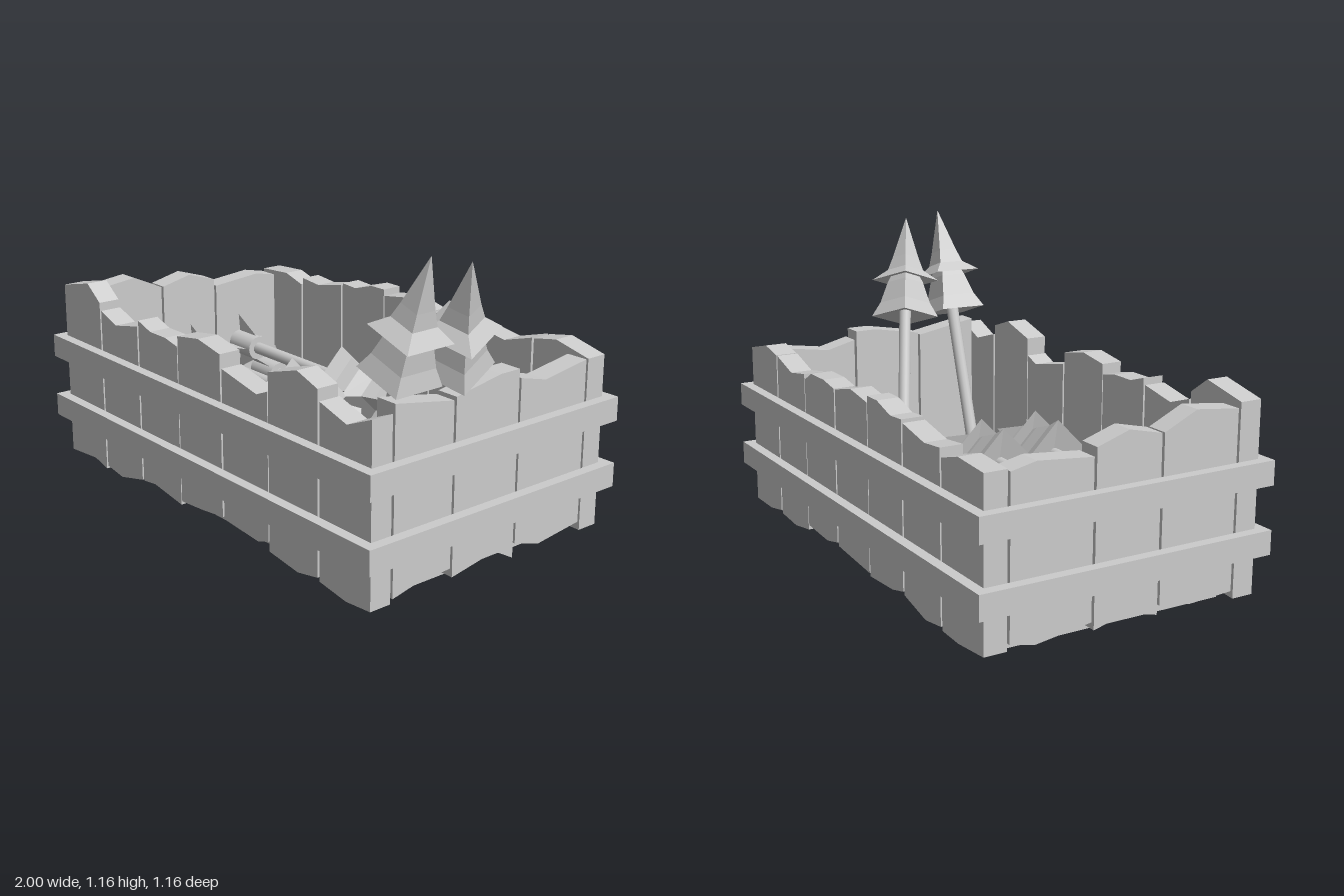
import * as THREE from 'three';

const mat = new THREE.MeshStandardMaterial({ color: 0xcccccc });
const flat = new THREE.MeshStandardMaterial({ color: 0xcccccc, flatShading: true });
const thin = new THREE.MeshStandardMaterial({ color: 0xcccccc, side: THREE.DoubleSide });
const T = 0.085; // plank thickness

function add(parent, name, geometry, material = mat) {
  const mesh = new THREE.Mesh(geometry, material);
  mesh.name = name;
  parent.add(mesh);
  return mesh;
}

function box(parent, name, x0, x1, y0, y1, z0, z1) {
  add(parent, name, new THREE.BoxGeometry(x1 - x0, y1 - y0, z1 - z0))
    .position.set((x0 + x1) / 2, (y0 + y1) / 2, (z0 + z1) / 2);
}

// Plank outline: jagged top and bottom given as [position along wall, height]
function plankGeometry(top, bottom) {
  const pts = [...bottom, ...top.slice().reverse()].map(p => new THREE.Vector2(...p));
  return new THREE.ExtrudeGeometry(new THREE.Shape(pts), { depth: T, bevelEnabled: false });
}

// Each plank: top points, then heights of the bottom edge at start, middle and end
function wall(name, planks) {
  const g = new THREE.Group();
  g.name = name;
  for (const [top, low] of planks) {
    const a = top[0][0], b = top[top.length - 1][0];
    const mid = top[1][0];
    add(g, 'plank', plankGeometry(top, [[a, low[0]], [mid, low[1]], [b, low[2]]]));
  }
  return g;
}

// Arrow along +y: nock cap, four fins, shaft and a two-tier barbed head
function arrow(name, base, dir, spin) {
  const g = new THREE.Group();
  g.name = name;
  add(g, 'nockCap', new THREE.CylinderGeometry(0.05, 0.05, 0.14, 16)).position.y = 0.07;
  add(g, 'shaft', new THREE.CylinderGeometry(0.025, 0.025, 0.66, 12)).position.y = 0.41;
  const finShape = new THREE.Shape([[0.04, 0.01], [0.12, 0], [0.04, 0.14]].map(p => new THREE.Vector2(...p)));
  for (let i = 0; i < 4; i++) {
    add(g, 'fin', new THREE.ShapeGeometry(finShape), thin).rotation.y = i * Math.PI / 2 + Math.PI / 4;
  }
  const tiers = [
    ['lowerBarbs', 0.69, [[0, 0.03], [0.14, 0], [0.105, 0.06], [0.075, 0.15], [0.03, 0.24]]],
    ['arrowTip', 0.85, [[0, 0.03], [0.14, 0], [0.075, 0.045], [0.055, 0.1], [0, 0.28]]],
  ];
  for (const [part, y, profile] of tiers) {
    const m = add(g, part, new THREE.LatheGeometry(profile.map(p => new THREE.Vector2(...p)), 4), flat);
    m.position.y = y;
    m.rotation.y = Math.PI / 4;
  }
  g.position.set(...base);
  g.quaternion.setFromUnitVectors(new THREE.Vector3(0, 1, 0), new THREE.Vector3(...dir).normalize());
  g.rotateY(spin);
  return g;
}

export function createModel() {
  const model = new THREE.Group();
  model.name = 'arrowCrate';

  box(model, 'floor', -0.88, 0.82, 0, 0.11, -0.45, 0.45);

  // Long walls
  const front = wall('frontWall', [
    [[[-0.96, 0.72], [-0.78, 0.76], [-0.695, 0.7]], [0.02, 0.035, 0.015]],
    [[[-0.685, 0.67], [-0.58, 0.635], [-0.43, 0.665]], [0.03, 0.015, 0.05]],
    [[[-0.42, 0.69], [-0.34, 0.665], [-0.24, 0.665], [-0.165, 0.65]], [0.05, 0.06, 0.035]],
    [[[-0.16, 0.69], [-0.03, 0.71], [0.1, 0.685]], [0.05, 0.06, 0.075]],
    [[[0.11, 0.635], [0.31, 0.595], [0.37, 0.62]], [0.07, 0.055, 0.075]],
    [[[0.375, 0.69], [0.53, 0.735], [0.635, 0.7]], [0.04, 0.02, 0.04]],
    [[[0.645, 0.66], [0.78, 0.62], [0.9, 0.67]], [0.03, 0.01, 0.02]],
  ]);
  front.position.z = 0.54 - T;
  const back = wall('backWall', [
    [[[-0.96, 0.63], [-0.8, 0.64], [-0.695, 0.61]], [0.03, 0.015, 0.02]],
    [[[-0.685, 0.64], [-0.58, 0.63], [-0.43, 0.66]], [0.03, 0.015, 0.05]],
    [[[-0.42, 0.67], [-0.34, 0.665], [-0.24, 0.695], [-0.165, 0.695]], [0.06, 0.04, 0.03]],
    [[[-0.16, 0.67], [-0.03, 0.69], [0.1, 0.66]], [0.04, 0.05, 0.06]],
    [[[0.11, 0.66], [0.2, 0.675], [0.31, 0.675], [0.37, 0.64]], [0.07, 0.05, 0.06]],
    [[[0.375, 0.66], [0.5, 0.64], [0.635, 0.68]], [0.04, 0.02, 0.03]],
    [[[0.645, 0.68], [0.75, 0.7], [0.9, 0.665]], [0.04, 0.02, 0.02]],
  ]);
  back.position.z = -0.54;

  // Short walls, turned so the plank outline runs along z
  const left = wall('leftWall', [
    [[[-0.445, 0.665], [-0.24, 0.635], [-0.12, 0.665]], [0.055, 0.03, 0.065]],
    [[[-0.11, 0.7], [-0.02, 0.7], [0.18, 0.665]], [0.015, 0.065, 0.03]],
    [[[0.19, 0.655], [0.33, 0.68], [0.445, 0.7]], [0.065, 0.06, 0.035]],
  ]);
  left.position.x = 0.9;
  const right = wall('rightWall', [
    [[[-0.445, 0.62], [-0.35, 0.64], [-0.135, 0.62]], [0.05, 0.03, 0.06]],
    [[[-0.125, 0.65], [0, 0.69], [0.13, 0.66]], [0.03, 0.06, 0.03]],
    [[[0.14, 0.66], [0.27, 0.72], [0.445, 0.7]], [0.06, 0.04, 0.05]],
  ]);
  right.position.x = -0.96 + T;
  left.rotation.y = right.rotation.y = -Math.PI / 2;
  model.add(front, back, left, right);

  // Two bands around the crate
  for (const y of [0.17, 0.42]) {
    for (const z of [-0.58, 0.54]) box(model, 'longBand', -1, 0.94, y, y + 0.09, z, z + 0.04);
    for (const x of [-1, 0.9]) box(model, 'shortBand', x, x + 0.04, y, y + 0.09, -0.54, 0.54);
  }

  // Stacked arrows: four below, three on top
  for (const z of [-0.35, -0.11, 0.12, 0.34]) model.add(arrow('lowerArrow', [-0.86, 0.22, z], [1, 0, 0], 0));
  for (const z of [-0.24, 0.01, 0.25]) model.add(arrow('upperArrow', [-0.86, 0.36, z], [1, 0, 0], Math.PI / 4));

  // Two arrows leaning in the corner
  model.add(arrow('leaningArrow', [0.59, 0.09, 0.34], [0.355, 1.07, 0.01], 0));
  model.add(arrow('leaningArrow', [0.56, 0.12, -0.03], [0.43, 1.01, 0.25], 0.3));
  return model;
}
